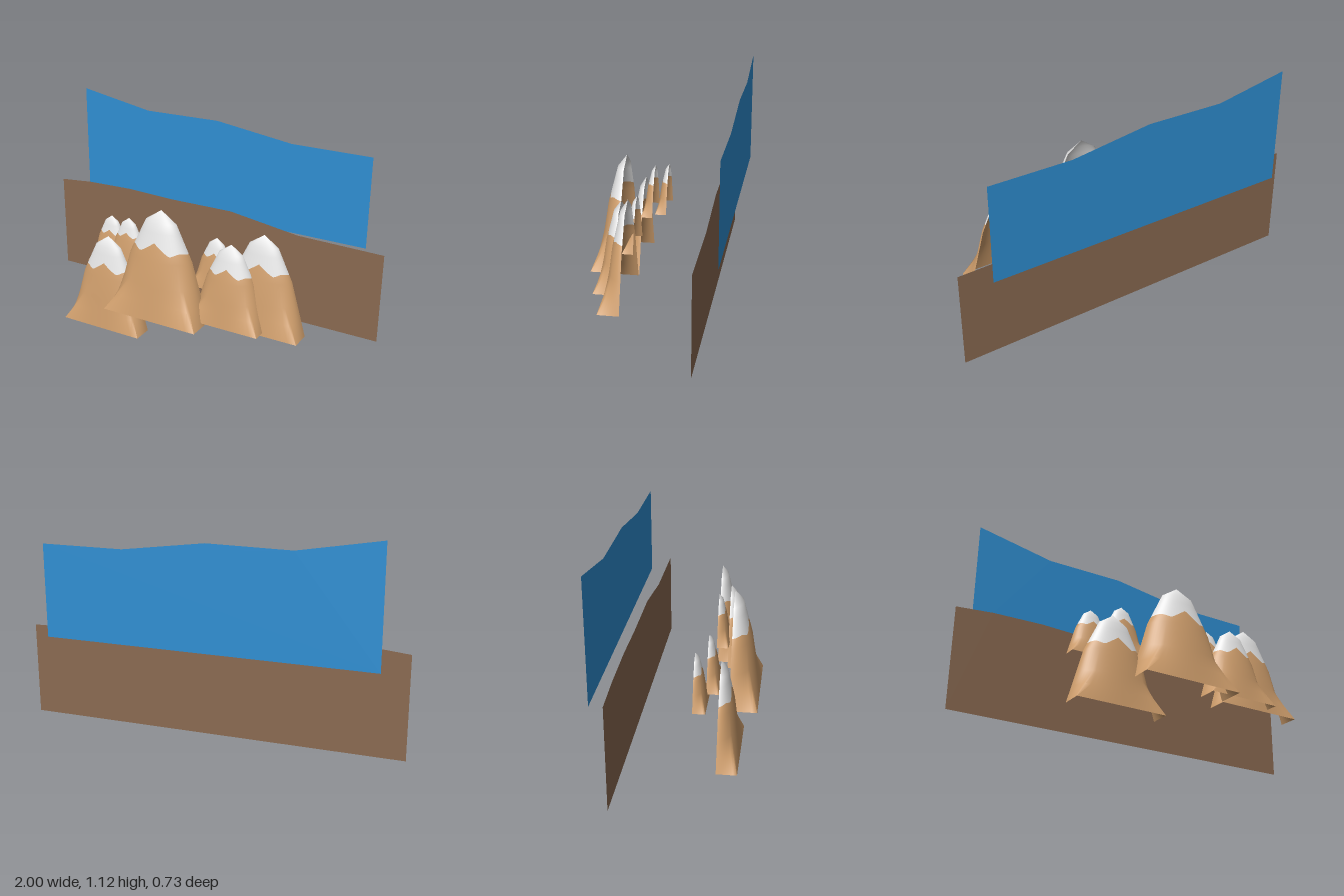
import * as THREE from 'three';
import { toCreasedNormals } from 'three/addons/utils/BufferGeometryUtils.js';

const COLUMNS = 32;
const CORNER_TOP = 0.32; // height at which the square foot has become round

// piecewise linear interpolation through [position, value] pairs
function interpolate(points, t) {
  for (let i = 1; i < points.length; i++) {
    const [a, va] = points[i - 1], [b, vb] = points[i];
    if (t <= b) return va + (vb - va) * (t - a) / (b - a);
  }
  return points[points.length - 1][1];
}

// mountain radius by height, and wavy snow line by position around the slope
const PROFILE = [[0, 1], [0.56, 0.66], [0.893, 0.325], [1, 0]];
const SNOW_LINE = [[0, 0.635], [0.2, 0.65], [0.32, 0.62], [0.5, 0.725], [0.67, 0.625], [0.8, 0.655], [1, 0.635]];

// half shell of unit size, open at the back and below; rows are functions of u
function shellGeometry(rows) {
  const positions = [], index = [], stride = COLUMNS + 1;
  rows.forEach((row, j) => {
    for (let i = 0; i <= COLUMNS; i++) {
      const u = i / COLUMNS, angle = u * Math.PI;
      const t = row(u), r = interpolate(PROFILE, t);
      const c = Math.cos(angle), s = Math.sin(angle);
      const square = 1 / Math.max(Math.abs(c), s);
      const k = r * THREE.MathUtils.lerp(1, square, Math.max(0, 1 - t / CORNER_TOP));
      positions.push(c * k, t, s * k);
      if (j && i < COLUMNS) {
        const a = (j - 1) * stride + i, b = a + 1, top = a + stride, topNext = top + 1;
        index.push(a, top, b);
        if (t < 1) index.push(top, topNext, b);
      }
    }
  });
  const geometry = new THREE.BufferGeometry();
  geometry.setAttribute('position', new THREE.Float32BufferAttribute(positions, 3));
  geometry.setIndex(index);
  return toCreasedNormals(geometry, 0.7);
}

// flat upright panel with a gently sloping top edge
function panel(name, bottom, top, z, material) {
  const first = top[0], last = top[top.length - 1];
  const outline = [[first[0], bottom], [last[0], bottom], ...top.slice().reverse()];
  const shape = new THREE.Shape(outline.map(([x, y]) => new THREE.Vector2(x, y)));
  const mesh = new THREE.Mesh(new THREE.ShapeGeometry(shape), material);
  mesh.name = name;
  mesh.position.z = z;
  return mesh;
}

export function createModel() {
  const model = new THREE.Group();
  model.name = 'mountainScene';

  const paint = (name, color) => {
    const material = new THREE.MeshStandardMaterial({ color, side: THREE.DoubleSide });
    material.name = name;
    return material;
  };
  const skyBlue = paint('skyBlue', 0x2f8fd3);
  const earthBrown = paint('earthBrown', 0x8a6a51);
  const rockTan = paint('rockTan', 0xcf9e6c);
  const snowWhite = paint('snowWhite', 0xe6e6e6);

  // backdrop panels
  model.add(panel('skyPanel', 0.495,
    [[-0.875, 1.12], [-0.45, 1.045], [-0.01, 1.05], [0.43, 0.99], [0.87, 0.99]], -0.365, skyBlue));
  model.add(panel('hillPanel', 0.03,
    [[-1, 0.57], [-0.8, 0.588], [-0.52, 0.595], [-0.24, 0.585], [0.13, 0.587], [0.53, 0.53], [1, 0.522]],
    -0.268, earthBrown));

  // shared mountain shells, split along the snow line
  const at = (t) => () => t;
  const snowLine = (u) => interpolate(SNOW_LINE, u);
  const rockGeometry = shellGeometry([at(0), at(0.16), at(CORNER_TOP), at(0.56), snowLine]);
  const snowGeometry = shellGeometry([snowLine, at(0.81), at(0.893), at(1)]);

  // x, base y, back z, half width, height, depth
  const mountains = {
    mainMountain: [-0.008, 0.173, 0.22, 0.272, 0.562, 0.145],
    frontLowMountain: [-0.362, 0, 0.185, 0.238, 0.503, 0.105],
    tallSideMountain: [0.512, 0.175, 0.108, 0.238, 0.495, 0.107],
    middleMountain: [0.366, 0.192, 0.172, 0.2, 0.418, 0.107],
    smallInnerMountain: [0.254, 0.333, 0.115, 0.127, 0.267, 0.064],
    smallBackMountain: [-0.275, 0.333, 0.115, 0.127, 0.267, 0.064],
    smallOuterMountain: [-0.42, 0.3, 0.062, 0.126, 0.267, 0.064],
  };
  for (const [name, [x, y, z, halfWidth, height, depth]] of Object.entries(mountains)) {
    const mountain = new THREE.Group();
    mountain.name = name;
    const rock = new THREE.Mesh(rockGeometry, rockTan);
    rock.name = 'rockSlope';
    const snow = new THREE.Mesh(snowGeometry, snowWhite);
    snow.name = 'snowCap';
    mountain.add(rock, snow);
    mountain.position.set(x, y, z);
    mountain.scale.set(halfWidth, height, depth);
    model.add(mountain);
  }
  return model;
}
